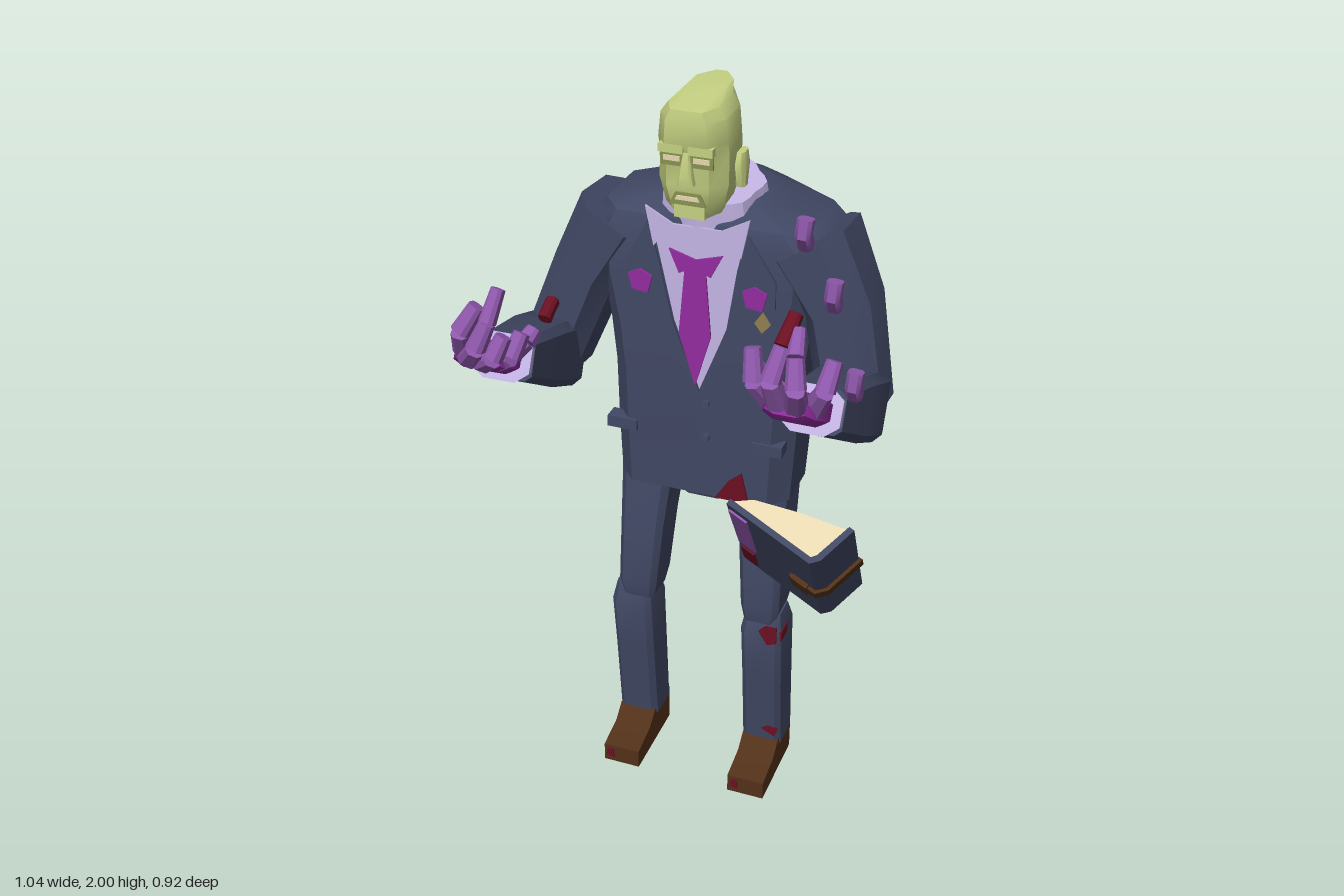
import * as THREE from 'three';
import { toCreasedNormals } from 'three/addons/utils/BufferGeometryUtils.js';

const colours = {
  suit: 0x414864, skin: 0xc5d182, skinShade: 0x87924f, linen: 0xc3b4e4, magenta: 0x932ca0,
  purple: 0x8f58ac, leather: 0x523119, paper: 0xe6d7b0, blood: 0x6a0f22, gold: 0x8f8050
};
const V = (x, y, z) => new THREE.Vector3(x, y, z);

// Cross-section outlines, as fractions along the two ring axes
const OCT = [[1, -.55], [1, .55], [.55, 1], [-.55, 1], [-1, .55], [-1, -.55], [-.55, -1], [.55, -1]];
const BOXY = OCT.map(p => p.map(n => Math.abs(n) < 1 ? n * 1.35 : n));
const COAT = [[1, -.8], [1, .8], [.6, 1], [-.4, 1], [-1, .42], [-1, -.42], [-.4, -1], [.6, -1]];
const SKULL = [[1, -.62], [1, .62], [.6, 1], [-.15, 1], [-1, .3], [-1, -.3], [-.15, -1], [.6, -1]];

export function createModel() {
  const model = new THREE.Group();
  model.name = 'undeadScholar';
  const mats = {};
  for (const [name, color] of Object.entries(colours)) {
    mats[name] = new THREE.MeshStandardMaterial({ color });
    mats[name].name = name;
  }

  const add = (name, geo, mat, parent = model) => {
    const mesh = new THREE.Mesh(toCreasedNormals(geo, 0.6), mats[mat]);
    mesh.name = name;
    parent.add(mesh);
    return mesh;
  };

  // Skin closed rings of points into a capped solid
  function loft(rings) {
    const n = rings[0].length, pos = [], idx = [];
    rings.forEach(r => r.forEach(p => pos.push(p.x, p.y, p.z)));
    for (let i = 0; i < rings.length - 1; i++) for (let j = 0; j < n; j++) {
      const a = i * n + j, b = i * n + (j + 1) % n;
      idx.push(a, b, b + n, a, b + n, a + n);
    }
    const top = (rings.length - 1) * n;
    for (let j = 1; j < n - 1; j++) idx.push(0, j + 1, j, top, top + j, top + j + 1);
    const g = new THREE.BufferGeometry();
    g.setAttribute('position', new THREE.Float32BufferAttribute(pos, 3));
    g.setIndex(idx);
    return g;
  }

  // Rows of [y, xMin, xMax, zBack, zFront], bottom to top
  const stack = (rows, outline) => loft(rows.map(([y, x0, x1, z0, z1]) => outline.map(([u, v]) =>
    V((x0 + x1) / 2 + v * (x1 - x0) / 2, y, (z0 + z1) / 2 + u * (z1 - z0) / 2))));

  // Path of [x, y, z, half width, half thickness]
  function limb(path, outline = OCT) {
    const c = path.map(p => V(p[0], p[1], p[2]));
    return loft(path.map((p, i) => {
      const d = c[Math.min(i + 1, c.length - 1)].clone().sub(c[Math.max(i - 1, 0)]).normalize();
      const u = V(1, 0, 0).addScaledVector(d, -d.x).normalize();
      const v = d.clone().cross(u);
      return outline.map(([a, b]) => c[i].clone().addScaledVector(u, a * p[3]).addScaledVector(v, b * p[4]));
    }));
  }

  const outlineOf = pts => new THREE.Shape(pts.map(p => new THREE.Vector2(...p)));
  const prism = (pts, depth) => new THREE.ExtrudeGeometry(outlineOf(pts), { depth, bevelEnabled: false });
  // Thin flat cut-out facing forward
  const plate = (name, pts, z, mat, parent) => add(name, prism(pts, .006).translate(0, 0, z), mat, parent);
  const box = (name, w, h, d, x, y, z, mat, parent) =>
    add(name, new THREE.BoxGeometry(w, h, d).translate(x, y, z), mat, parent);

  // Jacket with hunched back
  add('jacket', stack([
    [.94, -.25, .21, -.385, -.12], [1.1, -.255, .22, -.395, -.115], [1.27, -.255, .23, -.4, -.105],
    [1.4, -.27, .245, -.425, -.105], [1.53, -.3, .275, -.455, -.105], [1.65, -.31, .285, -.465, -.105],
    [1.695, -.28, .24, -.455, -.12], [1.73, -.17, .12, -.42, -.17], [1.755, -.12, .08, -.37, -.22]], COAT), 'suit');
  add('pelvis', stack([[.9, -.08, .03, -.3, -.17], [.98, -.2, .16, -.33, -.15]], BOXY), 'suit');

  // Shirt, tie and lapels
  plate('shirtFront', [[-.13, 1.69], [-.075, 1.44], [-.01, 1.26], [.06, 1.44], [.1, 1.69]], -.106, 'linen');
  plate('tie', [[-.045, 1.6], [-.062, 1.41], [-.02, 1.27], [.02, 1.41], [.005, 1.6]], -.101, 'magenta');
  plate('tieKnot', [[-.085, 1.63], [-.06, 1.57], [-.022, 1.59], [.02, 1.57], [.05, 1.63], [-.018, 1.61]], -.098, 'magenta');
  plate('rightLapel', [[-.14, 1.69], [-.2, 1.58], [-.2, 1.51], [-.17, 1.5], [-.01, 1.25], [-.08, 1.44], [-.115, 1.6]], -.103, 'suit');
  plate('leftLapel', [[.11, 1.69], [.085, 1.6], [.06, 1.44], [-.01, 1.25], [.14, 1.5], [.18, 1.51], [.18, 1.58]], -.103, 'suit');
  for (const [x, s] of [[-.13, 1], [.1, -1]])
    plate('collarPoint', s > 0 ? [[x - .015, 1.73], [x + .005, 1.63], [x + .06, 1.69]]
      : [[x + .015, 1.73], [x - .06, 1.69], [x - .005, 1.63]], -.1, 'linen');
  for (const x of [-.16, .13])
    plate('lapelFlower', [[x - .03, 1.55], [x - .02, 1.51], [x + .02, 1.505], [x + .032, 1.55], [x, 1.565]], -.096, 'magenta');
  plate('badge', [[.13, 1.47], [.15, 1.445], [.17, 1.47], [.15, 1.5]], -.101, 'gold');
  for (const y of [1.22, 1.12])
    add('button', new THREE.CylinderGeometry(.011, .011, .02, 8).rotateX(Math.PI / 2).translate(.005, y, -.105), 'suit');
  for (const x of [-.222, .165]) box('pocketFlap', .08, .03, .045, x, 1.115, -.128, 'suit');
  plate('hemBlood', [[.03, .945], [.12, .945], [.1, 1.03], [.065, 1.0]], -.114, 'blood');

  // Ruffled collar
  const collar = new THREE.CylinderGeometry(.12, .13, .09, 28, 1);
  const cp = collar.attributes.position;
  for (let i = 0; i < cp.count; i++) {
    const a = Math.atan2(cp.getX(i), cp.getZ(i)), k = 1 + .05 * Math.cos(a * 7);
    cp.setXYZ(i, cp.getX(i) * k, cp.getY(i), cp.getZ(i) * k);
  }
  add('collar', collar.rotateX(.14).translate(-.02, 1.715, -.23), 'linen');
  add('neck', stack([[1.66, -.09, .03, -.29, -.16], [1.8, -.09, .03, -.27, -.13]], OCT), 'skin');

  // Head and face
  const head = new THREE.Group();
  head.name = 'head';
  model.add(head);
  add('skull', stack([
    [1.695, -.075, .018, -.2, -.125], [1.74, -.1, .042, -.245, -.085], [1.8, -.115, .055, -.285, -.072],
    [1.87, -.115, .055, -.305, -.072], [1.9, -.115, .055, -.31, -.058], [1.96, -.108, .05, -.31, -.056],
    [1.985, -.09, .032, -.305, -.06], [2.0, -.075, .016, -.3, -.19]], SKULL), 'skin', head);
  for (const s of [-1, 1]) {
    const x = -.03 + s * .036;
    add('ear', stack([[1.775, -.012, .012, -.2, -.17], [1.83, -.014, .014, -.215, -.155], [1.86, -.01, .01, -.21, -.165]], OCT)
      .translate(-.03 + s * .092, 0, 0), 'skin', head);
    box('brow', .06, .02, .02, x, 1.893, -.067, 'skin', head);
    plate('eyeSocket', [[x - .028, 1.85], [x + .028, 1.85], [x + .028, 1.88], [x - .028, 1.88]], -.073, 'skinShade', head);
    plate('eye', [[x - .02, 1.862], [x + .02, 1.862], [x + .02, 1.874], [x - .02, 1.874]], -.07, 'paper', head);
  }
  add('nose', stack([[1.808, -.05, -.01, -.09, -.052], [1.83, -.046, -.014, -.09, -.05], [1.885, -.038, -.022, -.09, -.06]], BOXY), 'skin', head);
  plate('mouth', [[-.075, 1.755], [-.06, 1.785], [0, 1.785], [.015, 1.755]], -.077, 'skinShade', head);
  plate('teeth', [[-.06, 1.768], [0, 1.768], [-.005, 1.778], [-.055, 1.778]], -.073, 'paper', head);
  box('chin', .075, .035, .03, -.03, 1.735, -.098, 'skin', head);

  // Legs and shoes
  const shoeSide = [[-.305, 0], [-.06, 0], [-.06, .055], [-.15, .075], [-.19, .11], [-.305, .11]];
  for (const [side, dx, s] of [['right', -.205, -1], ['left', .145, 1]]) {
    const foot = dx + (s < 0 ? -.025 : 0);
    add(side + 'Thigh', stack([
      [.55, dx - .045, dx + .045, -.25, -.14], [.6, dx - .052, dx + .055, -.265, -.13],
      [.78, dx - .05 - (s > 0 ? .015 : 0), dx + .055 + (s < 0 ? .015 : 0), -.29, -.145],
      [1.0, dx - .05 - (s > 0 ? .04 : 0), dx + .055 + (s < 0 ? .04 : 0), -.33, -.17]], BOXY), 'suit');
    add(side + 'Shin', stack([
      [.09, foot - .056, foot + .056, -.31, -.19], [.35, foot - .052, foot + .06, -.285, -.155],
      [.52, foot - .05, foot + .064, -.265, -.13], [.575, foot - .04, foot + .055, -.24, -.15]], BOXY), 'suit');
    add(side + 'Shoe', prism(shoeSide, .105).rotateY(-Math.PI / 2).translate(foot + .0525, 0, 0), 'leather');
    plate('toeBlood', [[foot - .045, .02], [foot - .022, .015], [foot - .025, .045], [foot - .042, .045]], -.063, 'blood');
  }
  plate('kneeBlood', [[.15, .53], [.175, .49], [.2, .5], [.2, .55], [.17, .55]], -.135, 'blood');
  box('kneeBloodSide', .006, .03, .05, .208, .515, -.17, 'blood');
  plate('cuffBlood', [[.15, .15], [.19, .13], [.2, .16], [.17, .165]], -.184, 'blood');

  // Sleeves, cuffs and palms
  const arms = {
    right: [[-.25, 1.65, -.235], [-.335, 1.5, -.22], [-.435, 1.25, -.195], [-.395, 1.415, .17], [-.38, 1.5, .33]],
    left: [[.23, 1.65, -.235], [.315, 1.5, -.22], [.365, 1.25, -.195], [.36, 1.415, .15], [.35, 1.51, .32]]
  };
  for (const [side, [shoulder, mid, elbow, wrist, knuckle]] of Object.entries(arms)) {
    const mix = (a, b, t) => a.map((n, i) => n + (b[i] - n) * t);
    add(side + 'UpperArm', limb([[...shoulder, .1, .135], [...mid, .083, .115], [...elbow, .08, .095]]), 'suit');
    add(side + 'Forearm', limb([[...mix(elbow, wrist, -.1), .06, .06], [...mix(elbow, wrist, .08), .083, .088],
      [...mix(elbow, wrist, .5), .08, .08], [...wrist, .068, .052]], BOXY), 'suit');
    add(side + 'Cuff', limb([[...mix(wrist, knuckle, -.12), .062, .048], [...mix(wrist, knuckle, .18), .072, .056]]), 'linen');
    add(side + 'Palm', limb([[...wrist, .04, .032], [...mix(wrist, knuckle, .45), .06, .036],
      [...knuckle, .06, .03], [...mix(wrist, knuckle, 1.15), .045, .018]]), 'magenta');
  }

  // Jointed fingers: a separate tapered bone between each pair of points
  const finger = (name, pts, tip = 'purple') => {
    for (let i = 0; i < pts.length - 1; i++) {
      const r = .024 - i * .003;
      add(name, limb([[...pts[i], r, r], [...pts[i + 1], r * .8, r * .8]]), i > 0 && i === pts.length - 2 ? tip : 'purple');
    }
  };
  finger('leftFinger', [[.30, 1.51, .30], [.275, 1.57, .34], [.265, 1.64, .32]]);
  finger('leftFinger', [[.33, 1.53, .34], [.325, 1.6, .38], [.34, 1.67, .35], [.352, 1.725, .3]], 'blood');
  finger('leftFinger', [[.37, 1.53, .34], [.385, 1.6, .395], [.375, 1.66, .37], [.365, 1.7, .32]]);
  finger('leftFinger', [[.4, 1.51, .30], [.43, 1.57, .33], [.44, 1.63, .30]]);
  finger('leftThumb', [[.31, 1.46, .21], [.265, 1.5, .21], [.245, 1.56, .25]]);
  finger('rightFinger', [[-.41, 1.52, .34], [-.39, 1.59, .39], [-.355, 1.65, .37]]);
  finger('rightFinger', [[-.39, 1.51, .36], [-.35, 1.56, .4], [-.325, 1.62, .385], [-.31, 1.69, .35]]);
  finger('rightFinger', [[-.36, 1.5, .35], [-.32, 1.53, .38], [-.3, 1.58, .36]]);
  finger('rightFinger', [[-.35, 1.48, .3], [-.31, 1.5, .31], [-.295, 1.55, .28]]);
  finger('rightThumb', [[-.355, 1.46, .24], [-.32, 1.49, .21], [-.31, 1.51, .185]]);
  // Loose finger bones hovering above the hand, and a bloody thumb tip
  const bone = (name, path, r, mat) => add(name, limb(path.map(p => [...p, r, r])), mat);
  for (const [x, y, z] of [[.34, 1.87, .215], [.42, 1.76, .255], [.48, 1.57, .275]])
    bone('looseBone', [[x - .003, y - .035, z - .015], [x, y, z + .015], [x + .003, y + .035, z + .01]], .017, 'purple');
  bone('looseThumbTip', [[-.305, 1.515, .14], [-.305, 1.53, .115], [-.305, 1.54, .09]], .015, 'blood');

  // Book lying open-sided: cover and spine form an L around a wedge of pages
  const book = new THREE.Group();
  book.name = 'book';
  const along = V(.079, .797, .6).normalize();
  const out = V(.9, -.396, .19).cross(along).normalize();
  book.quaternion.setFromRotationMatrix(new THREE.Matrix4().makeBasis(along.clone().cross(out), along, out));
  book.position.set(.441, 1.06, .342);
  model.add(book);
  const slab = (name, pts, y, h, mat) =>
    add(name, prism(pts.map(([x, z]) => [x, -z]), h).rotateX(-Math.PI / 2).translate(0, y - h / 2, 0), mat, book);
  slab('cover', [[-.24, 0], [-.01, 0], [.006, -.02], [.022, -.118], [.008, -.118], [-.008, -.026], [-.016, -.014], [-.24, -.014]], 0, .385, 'suit');
  slab('pages', [[-.235, -.014], [-.016, -.014], [-.008, -.026], [.007, -.113], [-.1, -.082], [-.2, -.045]], 0, .365, 'paper');
  box('coverPatch', .05, .21, .006, -.21, .06, .002, 'purple', book);
  box('coverBlood', .04, .08, .006, -.215, -.12, .002, 'blood', book);
  slab('strap', [[-.08, -.002], [-.08, .008], [-.006, .008], [.014, -.018], [.031, -.122], [.02, -.122], [.005, -.02], [-.011, -.002]], -.02, .034, 'leather');
  box('clasp', .045, .05, .012, -.05, -.02, .006, 'leather', book);
  return model;
}
